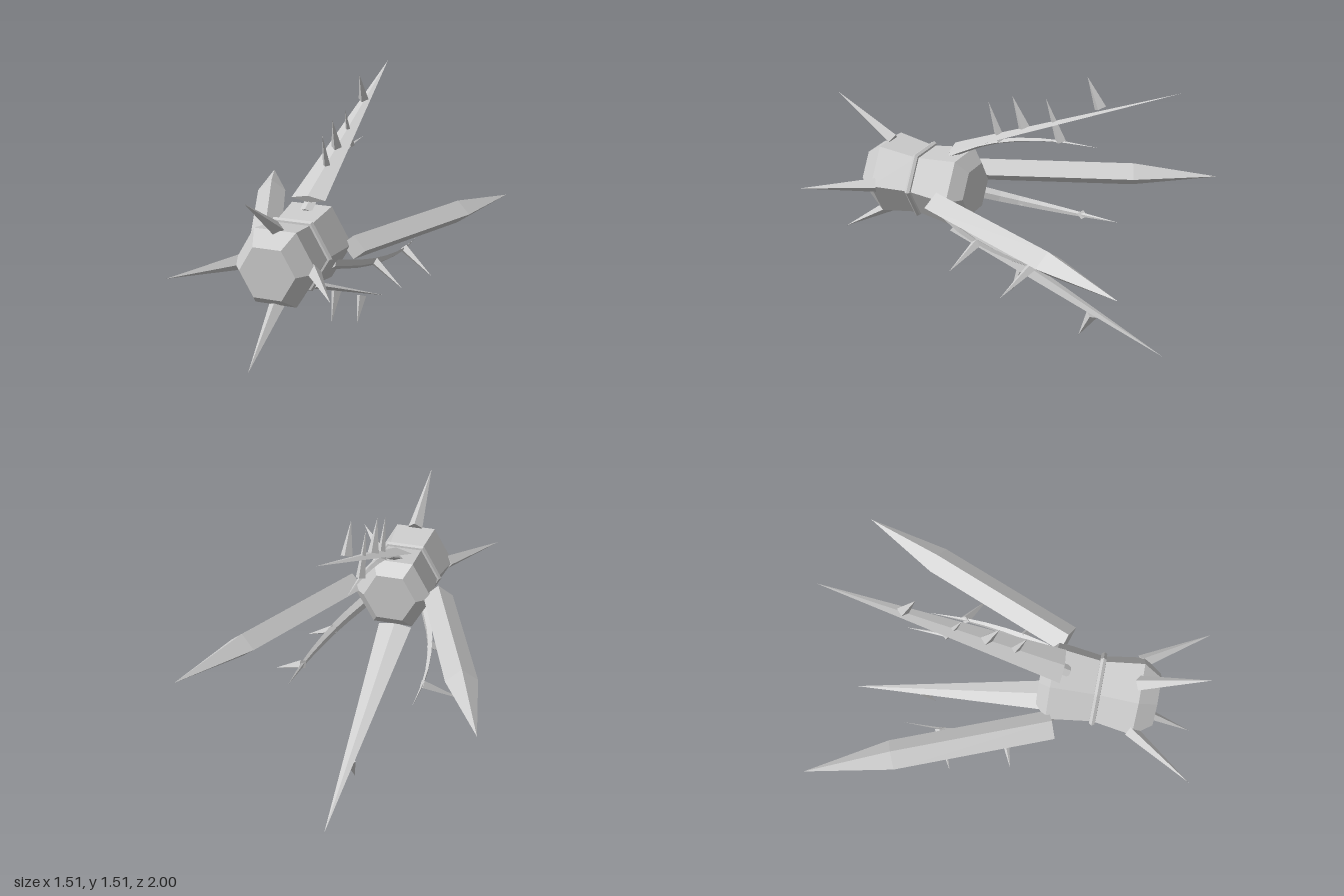
import * as THREE from 'three';

const CENTRE_Y = 0.765;

export function createModel() {
  const model = new THREE.Group();
  const grey = new THREE.MeshStandardMaterial({ color: 0xcccccc });
  grey.name = 'light grey';

  // Faceted solid turned from a [radius, height] profile
  const turned = (profile, sides, start = 0) =>
    new THREE.LatheGeometry(profile.map(([r, h]) => new THREE.Vector2(r, h)), sides, start);

  const add = (parent, name, geometry) => {
    const flat = geometry.toNonIndexed();
    flat.computeVertexNormals();
    const mesh = new THREE.Mesh(flat, grey);
    mesh.name = name;
    parent.add(mesh);
  };

  // Four-sided blade in the radial (y, z) plane of an arm
  const spikeProfile = [[0, 0], [1, 0], [0, 1]];
  const blade = (parent, name, base, tip, across, depth, profile = spikeProfile) => {
    const dy = tip[0] - base[0], dz = tip[1] - base[1];
    const g = turned(profile, 4);
    g.scale(across, Math.hypot(dy, dz), depth);
    g.rotateX(Math.atan2(dz, dy));
    g.translate(0, base[0], base[1]);
    add(parent, name, g);
  };

  // Group whose +y points outward from the body at the given angle
  const arm = (name, degrees) => {
    const group = new THREE.Group();
    group.name = name;
    group.position.y = CENTRE_Y;
    group.rotation.z = THREE.MathUtils.degToRad(degrees - 90);
    model.add(group);
    return group;
  };

  // Hexagonal body, waisted in the middle, and its collar
  const hexAlongZ = (name, profile) => {
    const g = turned(profile, 6, Math.PI / 2);
    g.rotateX(Math.PI / 2);
    g.translate(0, CENTRE_Y, 0);
    add(model, name, g);
  };
  hexAlongZ('body', [[0, 0.13], [0.15, 0.13], [0.225, 0.195], [0.19, 0.445],
    [0.225, 0.665], [0.15, 0.765], [0, 0.765]]);
  hexAlongZ('collar', [[0.17, 0.427], [0.205, 0.43], [0.215, 0.445], [0.205, 0.46], [0.17, 0.463]]);

  // Front spikes
  for (const angle of [0, 90, 180, 270]) {
    blade(arm('frontSpikeArm', angle), 'frontSpike', [0.198, 0.65], [0.425, 1], 0.042, 0.038);
  }

  // Upper and lower tapering blades with barbs
  for (const angle of [90, 270]) {
    const group = arm('taperedBladeArm', angle);
    blade(group, 'taperedBlade', [0.235, 0.243], [0.755, -1], 0.095, 0.0225);
    blade(group, 'bladeBarb', [0.42, -0.16], [0.585, -0.09], 0.03, 0.033);
    blade(group, 'bladeBarb', [0.603, -0.58], [0.757, -0.505], 0.03, 0.033);
  }

  // Broad side blades with a shouldered point
  for (const angle of [0, 180]) {
    blade(arm('sideBladeArm', angle), 'sideBlade', [0.25, 0.235], [0.757, -1], 0.065, 0.082,
      [[0, 0], [1, 0], [1, 0.65], [0, 1]]);
  }

  // Curved horns: a turned taper bent along a curve
  const path = new THREE.CatmullRomCurve3([[0.18, 0.28], [0.30, 0.035], [0.375, -0.29], [0.385, -0.58]]
    .map(([y, z]) => new THREE.Vector3(0, y, z)));
  const taper = [[0, 0]];
  for (let i = 0; i <= 8; i++) taper.push([1 - Math.pow(i / 8, 1.6), i / 8]);

  const bentHorn = () => {
    const g = turned(taper, 4);
    const pos = g.attributes.position;
    for (let i = 0; i < pos.count; i++) {
      const t = THREE.MathUtils.clamp(pos.getY(i), 0, 1);
      const p = path.getPoint(t), dir = path.getTangent(t);
      const side = pos.getX(i) * 0.034, out = pos.getZ(i) * 0.016;
      pos.setXYZ(i, side, p.y - dir.z * out, p.z + dir.y * out);
    }
    return g;
  };
  for (const angle of [90, 210, 330]) {
    const group = arm('curvedHornArm', angle);
    add(group, 'curvedHorn', bentHorn());
    blade(group, 'hornBarb', [0.315, -0.025], [0.53, 0.05], 0.026, 0.03);
    blade(group, 'hornBarb', [0.38, -0.37], [0.605, -0.28], 0.026, 0.03);
  }

  return model;
}
